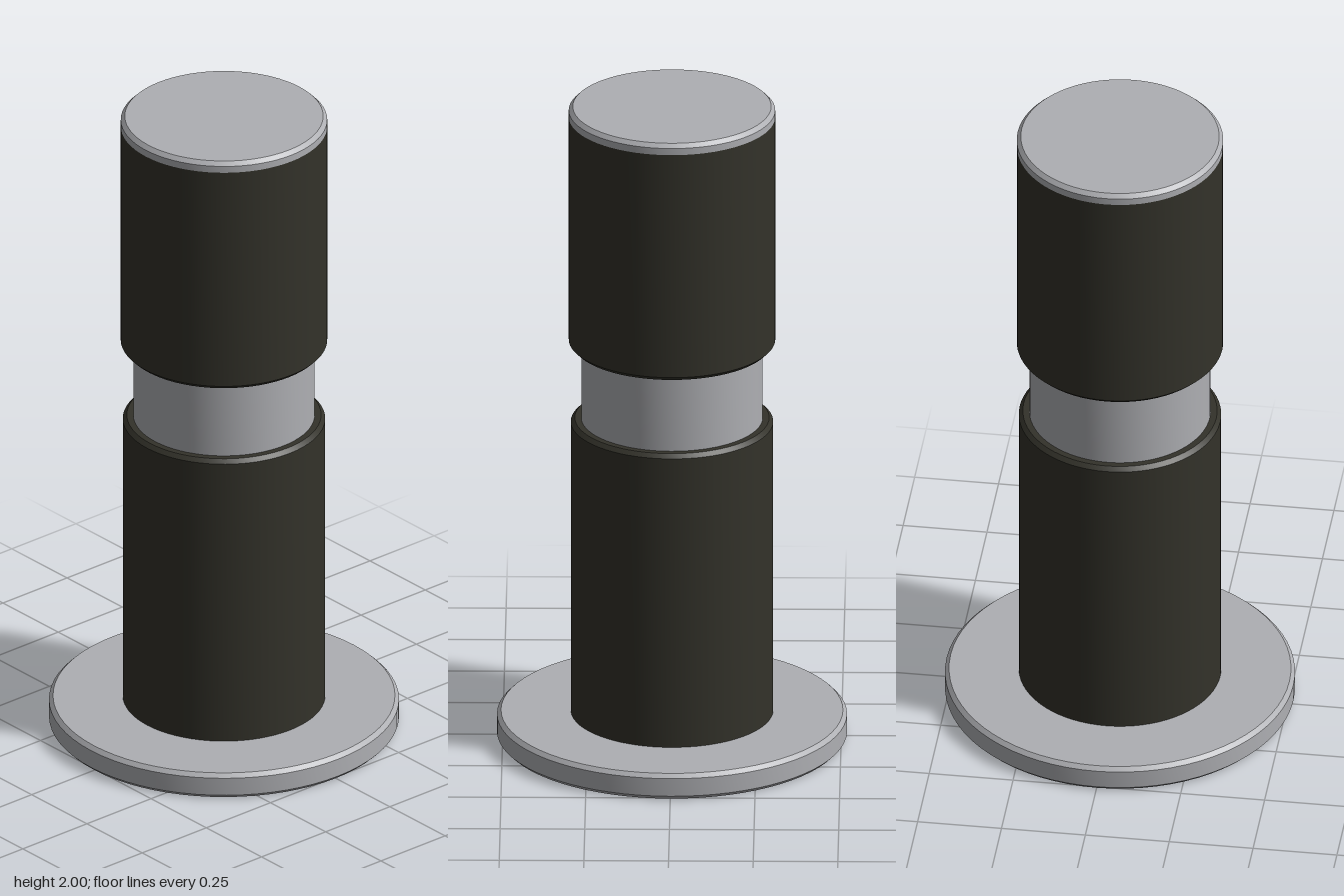
import * as THREE from 'three';
import { toCreasedNormals } from 'three/addons/utils/BufferGeometryUtils.js';

export function createModel() {
  const group = new THREE.Group();
  const metal = new THREE.MeshStandardMaterial({ name: 'satin grey metal', color: 0xaeafb3 });
  const dark = new THREE.MeshStandardMaterial({ name: 'dark olive coating', color: 0x33322a });

  // Closed round part with optional chamfers at its lower and upper rims
  function turned(name, material, radius, y0, y1, low = 0, high = 0) {
    const profile = [[0, y0], [radius - low, y0]];
    if (low) profile.push([radius, y0 + low]);
    if (high) profile.push([radius, y1 - high]);
    profile.push([radius - high, y1], [0, y1]);
    const lathe = new THREE.LatheGeometry(profile.map(([x, y]) => new THREE.Vector2(x, y)), 72);
    const mesh = new THREE.Mesh(toCreasedNormals(lathe, 0.5), material);
    mesh.name = name;
    group.add(mesh);
  }

  turned('baseFlange', metal, 0.517, 0, 0.08, 0.012, 0.012);
  turned('lowerSleeve', dark, 0.299, 0.08, 1.01, 0, 0.012);
  turned('neck', metal, 0.268, 1.01, 1.25);
  turned('upperSleeve', dark, 0.305, 1.247, 1.967, 0.012, 0);
  turned('topCap', metal, 0.305, 1.967, 2, 0, 0.012);

  return group;
}
